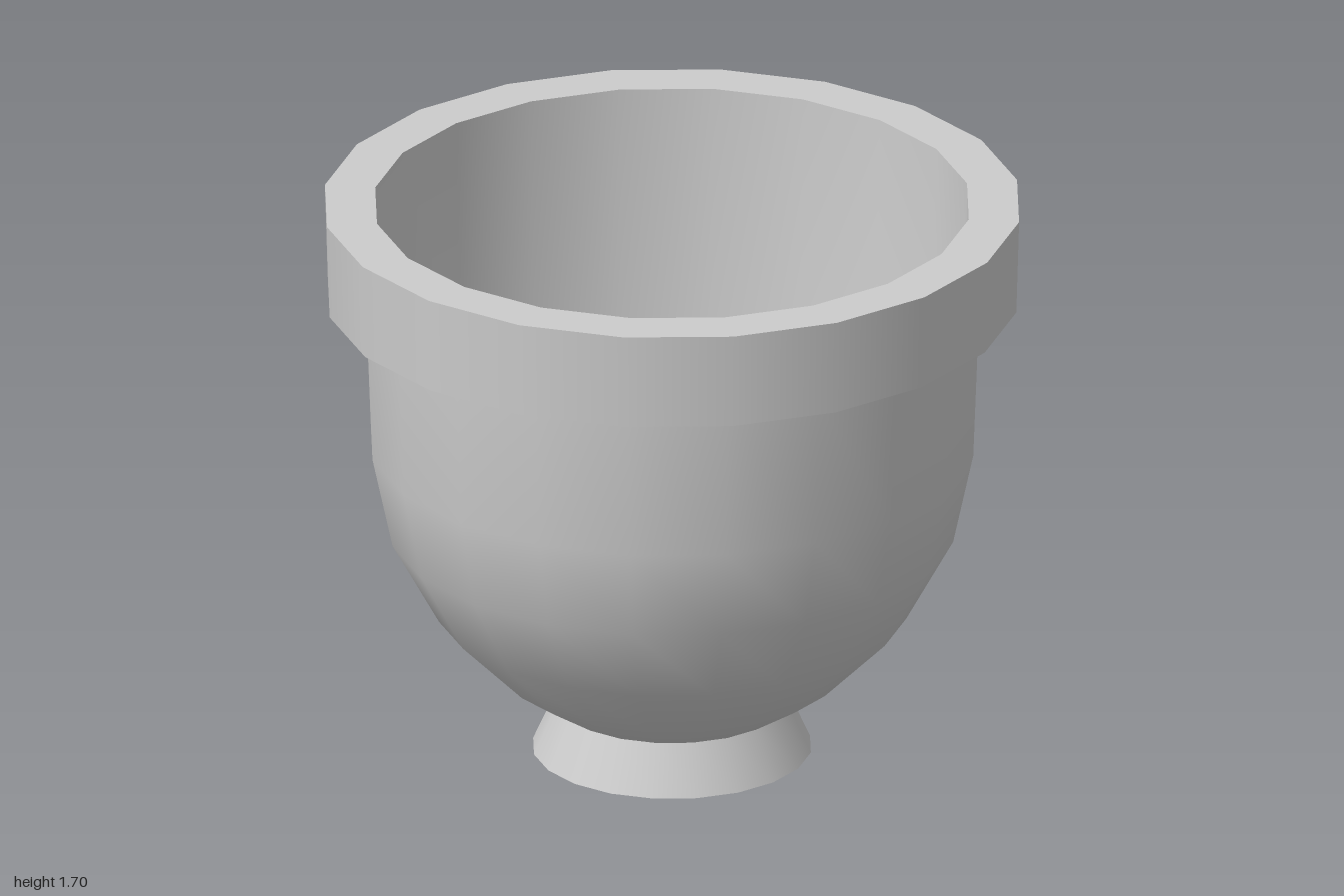
import * as THREE from 'three';

const SIDES = 20;

export function createModel() {
  const group = new THREE.Group();
  const material = new THREE.MeshStandardMaterial({ color: 0xcccccc });

  // Each smooth section is its own lathe, so edges between sections stay sharp
  function turned(name, profile) {
    const points = profile.map(([r, y]) => new THREE.Vector2(r, y));
    const mesh = new THREE.Mesh(new THREE.LatheGeometry(points, SIDES), material);
    mesh.name = name;
    group.add(mesh);
  }

  // Flared foot with a slightly pointed underside
  turned('footBase', [[0, 0], [0.4, 0.025]]);
  turned('foot', [[0.4, 0.025], [0.335, 0.17]]);

  // Rounded outer wall
  turned('bowlOutside', [
    [0.335, 0.17], [0.485, 0.265], [0.675, 0.455], [0.81, 0.7], [0.868, 0.97], [0.885, 1.42],
  ]);

  // Thick collar around the mouth
  turned('collarUnderside', [[0.885, 1.42], [0.992, 1.42]]);
  turned('collar', [[0.992, 1.42], [1, 1.7]]);
  turned('rim', [[1, 1.7], [0.855, 1.7]]);

  // Hollow interior and its flat floor
  turned('bowlInside', [
    [0.855, 1.7], [0.838, 0.98], [0.78, 0.715], [0.652, 0.48], [0.465, 0.295], [0.303, 0.195],
  ]);
  turned('bowlFloor', [[0.303, 0.195], [0, 0.195]]);

  return group;
}
